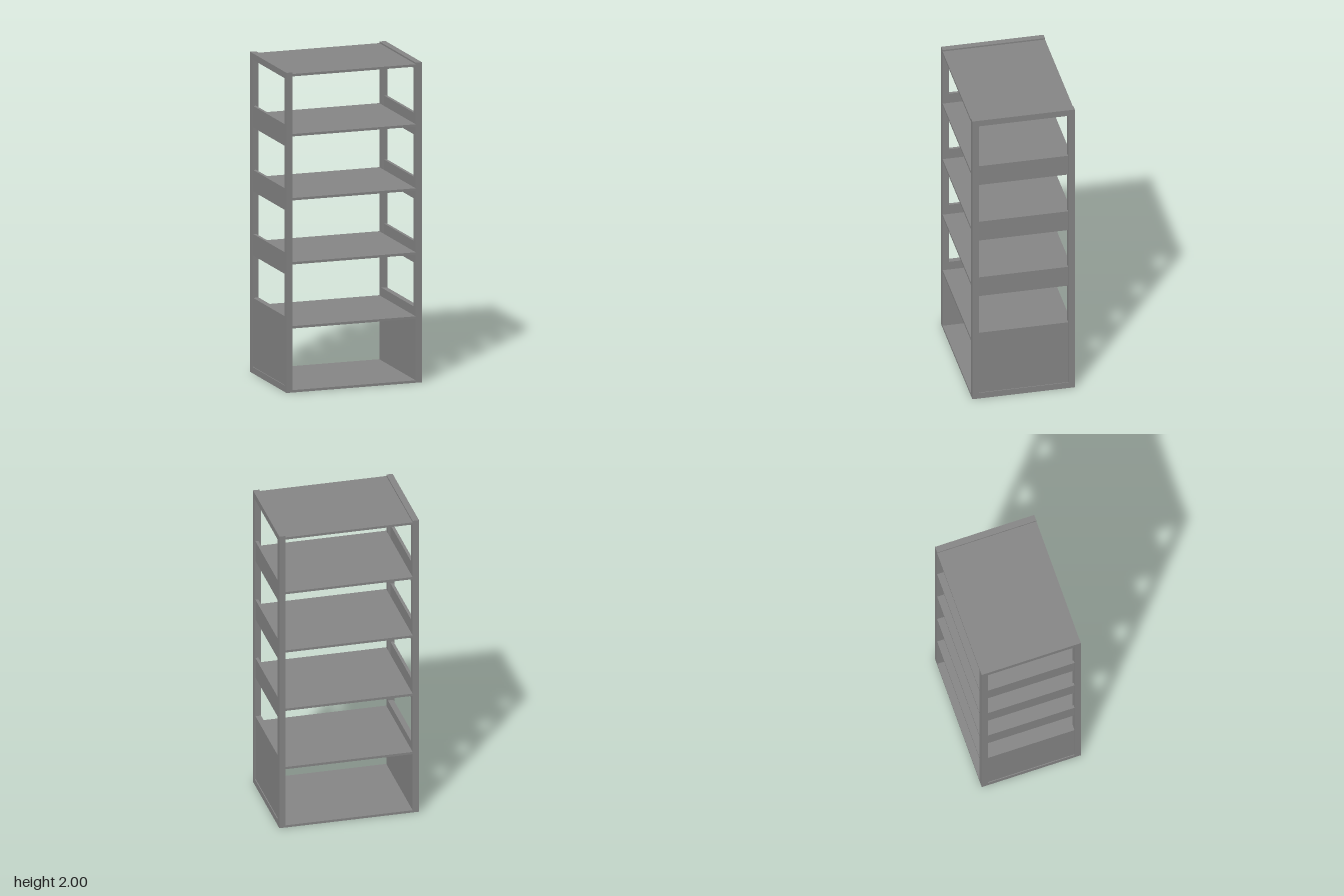
import * as THREE from 'three';

const W = 0.44, D = 0.32, H = 2, T = 0.04; // half width, half depth, height, frame bar

export function createModel() {
  const model = new THREE.Group();
  model.name = 'shelfUnit';
  const darkGrey = new THREE.MeshStandardMaterial({ color: 0x888888 });

  const add = (parent, name, geometry, x, y, z) => {
    const mesh = new THREE.Mesh(geometry, darkGrey);
    mesh.name = name;
    mesh.position.set(x, y, z);
    parent.add(mesh);
  };
  const box = (parent, name, w, h, d, x, y) =>
    add(parent, name, new THREE.BoxGeometry(w, h, d), x, y, 0);

  // Shelves, all spanning between the side frames
  const shelf = 0.015;
  [0, 0.4, 0.8, 1.2, 1.6, 1.975].forEach((y, i) =>
    box(model, `shelf${i + 1}`, 2 * (W - T), shelf, 2 * D, 0, y + shelf / 2));

  // Rectangular frame outline with one large opening, in the z/y plane
  const outline = new THREE.Shape([
    new THREE.Vector2(-D, 0), new THREE.Vector2(D, 0),
    new THREE.Vector2(D, H), new THREE.Vector2(-D, H),
  ]);
  outline.holes.push(new THREE.Path([
    new THREE.Vector2(-D + T, T), new THREE.Vector2(-D + T, H - T),
    new THREE.Vector2(D - T, H - T), new THREE.Vector2(D - T, T),
  ]));
  const frame = new THREE.ExtrudeGeometry(outline, { depth: T, bevelEnabled: false });
  frame.translate(0, 0, -T / 2);
  frame.rotateY(Math.PI / 2);

  for (const s of [1, -1]) {
    const side = new THREE.Group();
    side.name = s > 0 ? 'leftSide' : 'rightSide';
    model.add(side);
    add(side, 'sideFrame', frame, s * (W - T / 2), 0, 0);

    // Infill set slightly back from the outer face: a tall base panel and three guard boards
    const recess = 0.005, depth = 2 * (D - T);
    const panel = (name, thick, height, y) =>
      box(side, name, thick, height, depth, s * (W - recess - thick / 2), y);
    panel('basePanel', T - recess, 0.43, 0.255);
    [0.802, 1.202, 1.602].forEach((y) => panel('guardBoard', 0.018, 0.135, y));
  }
  return model;
}
